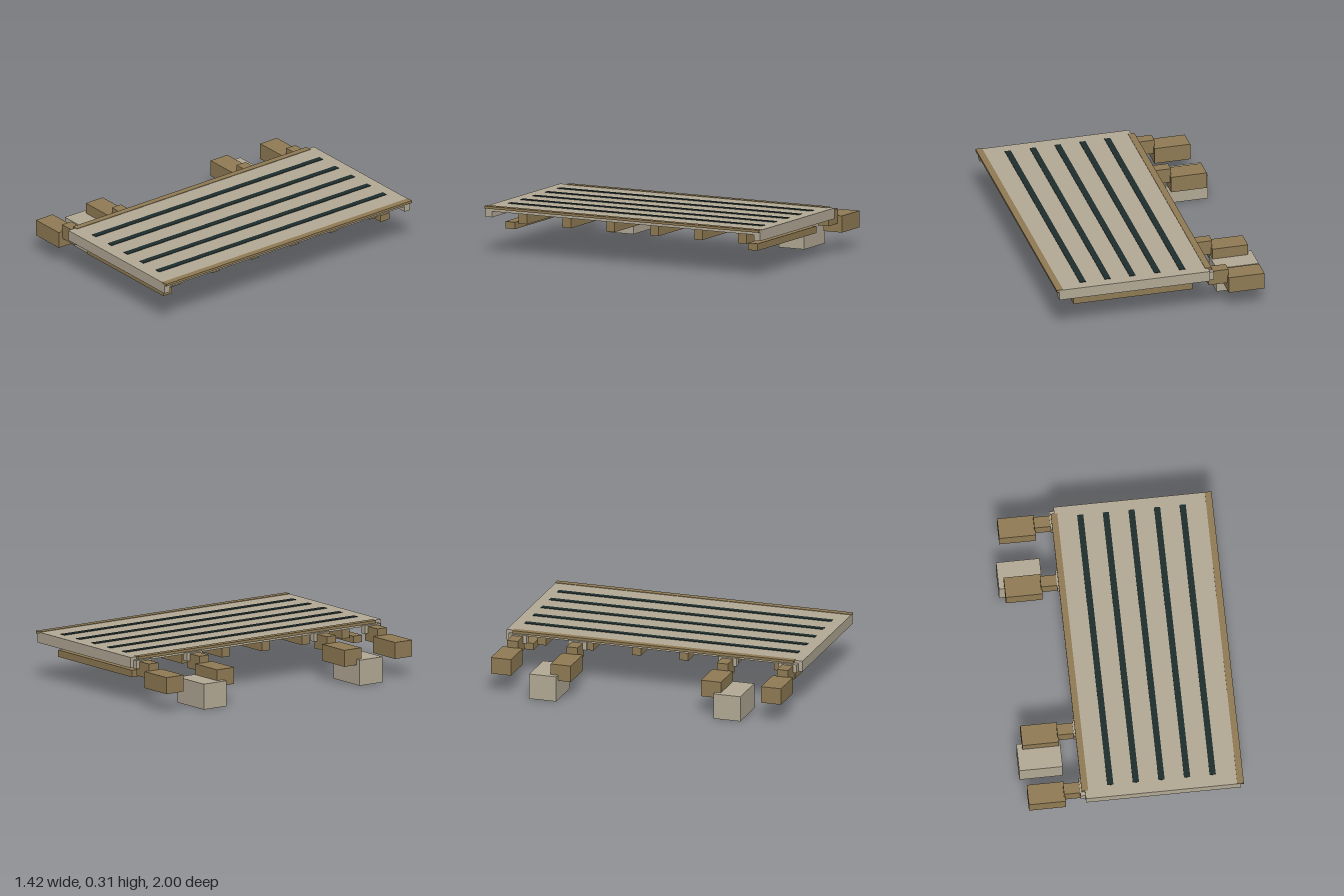
import * as THREE from 'three';

const paint = (name, color) => {
  const m = new THREE.MeshStandardMaterial({ color });
  m.name = name;
  return m;
};

export function createModel() {
  const model = new THREE.Group();
  model.name = 'slottedPlatform';
  const stone = paint('paleStone', 0xb3aa96);
  const wood = paint('brownWood', 0x907b54);
  const dark = paint('darkSlot', 0x1f2d2d);

  // Box given by its limits on each axis
  const box = (name, material, [x0, x1], [y0, y1], [z0, z1], parent = model) => {
    const mesh = new THREE.Mesh(new THREE.BoxGeometry(x1 - x0, y1 - y0, z1 - z0), material);
    mesh.position.set((x0 + x1) / 2, (y0 + y1) / 2, (z0 + z1) / 2);
    mesh.name = name;
    parent.add(mesh);
    return mesh;
  };

  // Deck slab with an edge trim along each long side
  box('deck', stone, [-0.31, 0.69], [0.278, 0.31], [-1, 1]);
  box('outerTrim', wood, [0.665, 0.708], [0.297, 0.313], [-1, 1]);
  box('innerTrim', wood, [-0.332, -0.29], [0.295, 0.313], [-0.955, 0.945]);

  // Dark slots along the deck
  for (let i = 0; i < 5; i++) {
    const x = -0.145 + i * 0.165;
    box('slot', dark, [x - 0.02, x + 0.02], [0.308, 0.313], [-0.93, 0.922]);
  }

  // Cross ribs under the deck
  for (let i = 0; i < 6; i++) {
    const z = -0.8 + i * 0.32;
    box('rib', wood, [-0.2, 0.56], [0.19, 0.279], [z - 0.03, z + 0.03]);
  }

  // End skirts, low end beams and footing blocks, mirrored front to back
  for (const s of [1, -1]) {
    const span = (a, b) => (s > 0 ? [a, b] : [-b, -a]);
    box('endSkirt', stone, [-0.31, 0.69], [0.24, 0.278], span(0.955, 1));
    box('endBeam', wood, [-0.215, 0.575], [0.155, 0.2], span(0.85, 0.92));
    box('footing', stone, [-0.71, -0.43], [0, 0.167], span(0.532, 0.714));
  }

  // Stepped mounting arms: bracket, connector and end block
  for (const z of [-0.917, -0.513, 0.503, 0.909]) {
    const arm = new THREE.Group();
    arm.name = 'mountingArm';
    arm.position.z = z;
    box('bracket', stone, [-0.342, -0.306], [0.237, 0.292], [-0.062, 0.062], arm);
    box('connector', wood, [-0.445, -0.312], [0.187, 0.284], [-0.037, 0.037], arm);
    box('armBlock', wood, [-0.675, -0.438], [0.13, 0.238], [-0.068, 0.068], arm);
    model.add(arm);
  }
  return model;
}
